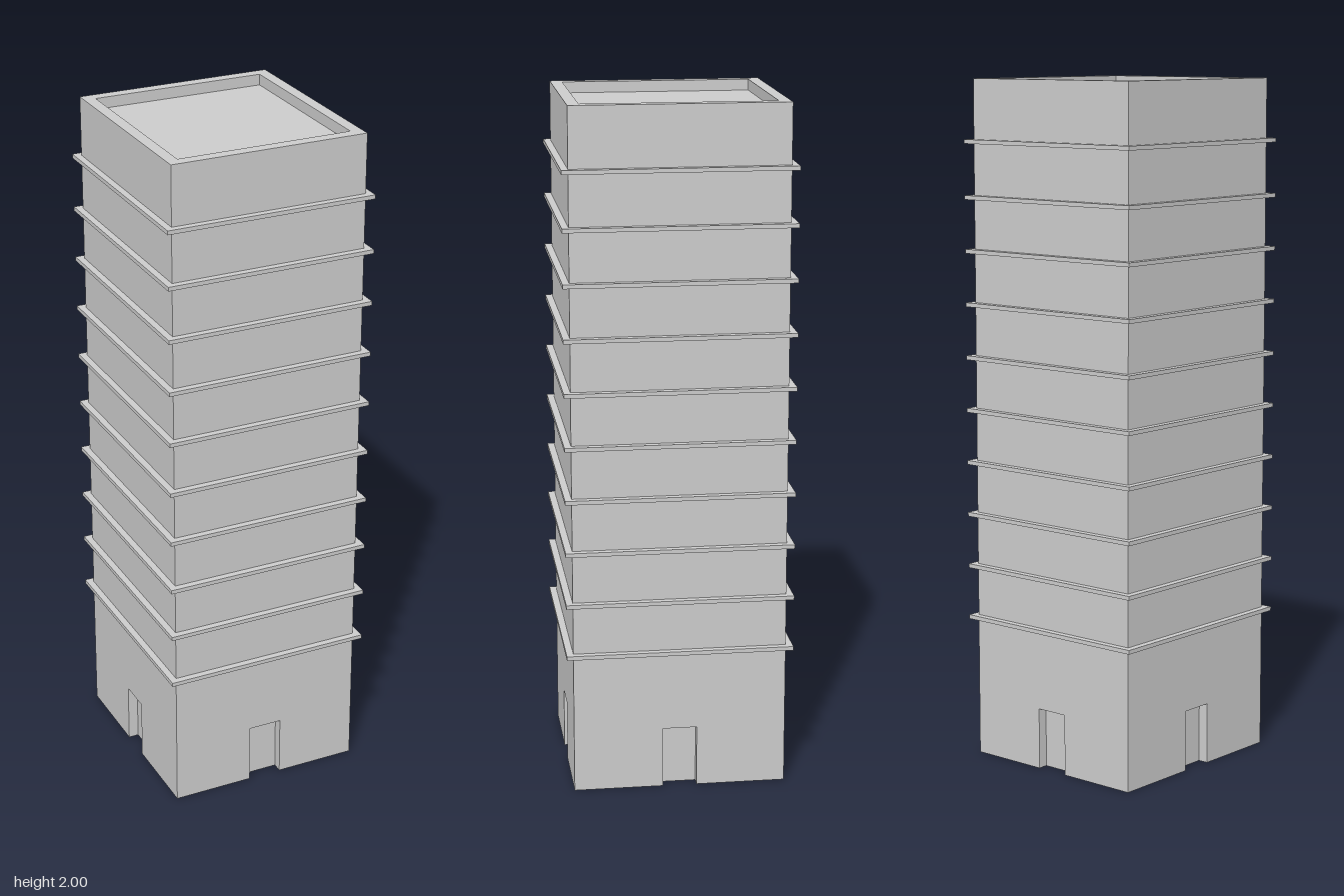
import * as THREE from 'three';

const HX = 0.291, HZ = 0.31;            // half width and half depth of the tower
const LEDGE = 0.02, LEDGE_T = 0.012;    // ledge overhang and thickness
const PARAPET = 0.034, ROOF_Y = 1.968;  // parapet thickness and roof level
const BASE_H = 0.412, STEP = 0.1553, FLOORS = 10;
const DOOR_W = 0.1, DOOR_H = 0.18, DOOR_D = 0.03;

const material = new THREE.MeshStandardMaterial({
  color: 0xcccccc, flatShading: true, side: THREE.DoubleSide,
});

function part(parent, name, geometry, position = [0, 0, 0], rotation = [0, 0, 0]) {
  const mesh = new THREE.Mesh(geometry, material);
  mesh.name = name;
  mesh.position.set(...position);
  mesh.rotation.set(...rotation);
  parent.add(mesh);
  return mesh;
}

// Joins rectangular rings, each given as [outward offset, height]
function rectangularShell(rings) {
  const corners = [[1, 1], [1, -1], [-1, -1], [-1, 1]];
  const at = ([offset, y], k) => {
    const [sx, sz] = corners[k % 4];
    return [sx * (HX + offset), y, sz * (HZ + offset)];
  };
  const positions = [];
  for (let i = 0; i < rings.length - 1; i++) {
    for (let k = 0; k < 4; k++) {
      const a = at(rings[i], k), b = at(rings[i], k + 1);
      const c = at(rings[i + 1], k + 1), d = at(rings[i + 1], k);
      positions.push(...a, ...b, ...c, ...a, ...c, ...d);
    }
  }
  const geometry = new THREE.BufferGeometry();
  geometry.setAttribute('position', new THREE.Float32BufferAttribute(positions, 3));
  geometry.computeVertexNormals();
  return geometry;
}

// One ground-floor wall facing +z, with a doorway recessed into it
function baseWall(halfWidth, distance) {
  const side = new THREE.Group();
  const w = DOOR_W / 2;
  const outline = new THREE.Shape([
    [-halfWidth, 0], [-w, 0], [-w, DOOR_H], [w, DOOR_H],
    [w, 0], [halfWidth, 0], [halfWidth, BASE_H], [-halfWidth, BASE_H],
  ].map(([x, y]) => new THREE.Vector2(x, y)));
  part(side, 'baseWall', new THREE.ShapeGeometry(outline), [0, 0, distance]);

  const mid = distance - DOOR_D / 2;
  part(side, 'doorPanel', new THREE.PlaneGeometry(DOOR_W, DOOR_H),
    [0, DOOR_H / 2, distance - DOOR_D]);
  for (const s of [-1, 1]) {
    part(side, 'doorJamb', new THREE.PlaneGeometry(DOOR_D, DOOR_H),
      [s * w, DOOR_H / 2, mid], [0, -s * Math.PI / 2, 0]);
  }
  part(side, 'doorLintel', new THREE.PlaneGeometry(DOOR_W, DOOR_D),
    [0, DOOR_H, mid], [Math.PI / 2, 0, 0]);
  return side;
}

export function createModel() {
  const model = new THREE.Group();
  model.name = 'tower';

  // Ground floor: a doorway in each of the four sides, open underneath
  for (let k = 0; k < 4; k++) {
    const side = k % 2 ? baseWall(HZ, HX) : baseWall(HX, HZ);
    side.name = 'groundFloorSide';
    side.rotation.y = k * Math.PI / 2;
    model.add(side);
  }

  // Upper storeys: a hollow shell that steps out into a thin ledge at every floor
  const rings = [];
  for (let i = 0; i < FLOORS; i++) {
    const y = BASE_H + i * STEP + (i === FLOORS - 1 ? 0.005 : 0);
    rings.push([0, y], [LEDGE, y], [LEDGE, y + LEDGE_T], [0, y + LEDGE_T]);
  }
  rings.push([0, 2]);
  part(model, 'upperStoreys', rectangularShell(rings));

  // Parapet and sunken roof
  part(model, 'parapet', rectangularShell([[0, 2], [-PARAPET, 2], [-PARAPET, ROOF_Y]]));
  part(model, 'roof', new THREE.PlaneGeometry(2 * (HX - PARAPET), 2 * (HZ - PARAPET)),
    [0, ROOF_Y, 0], [-Math.PI / 2, 0, 0]);

  return model;
}
